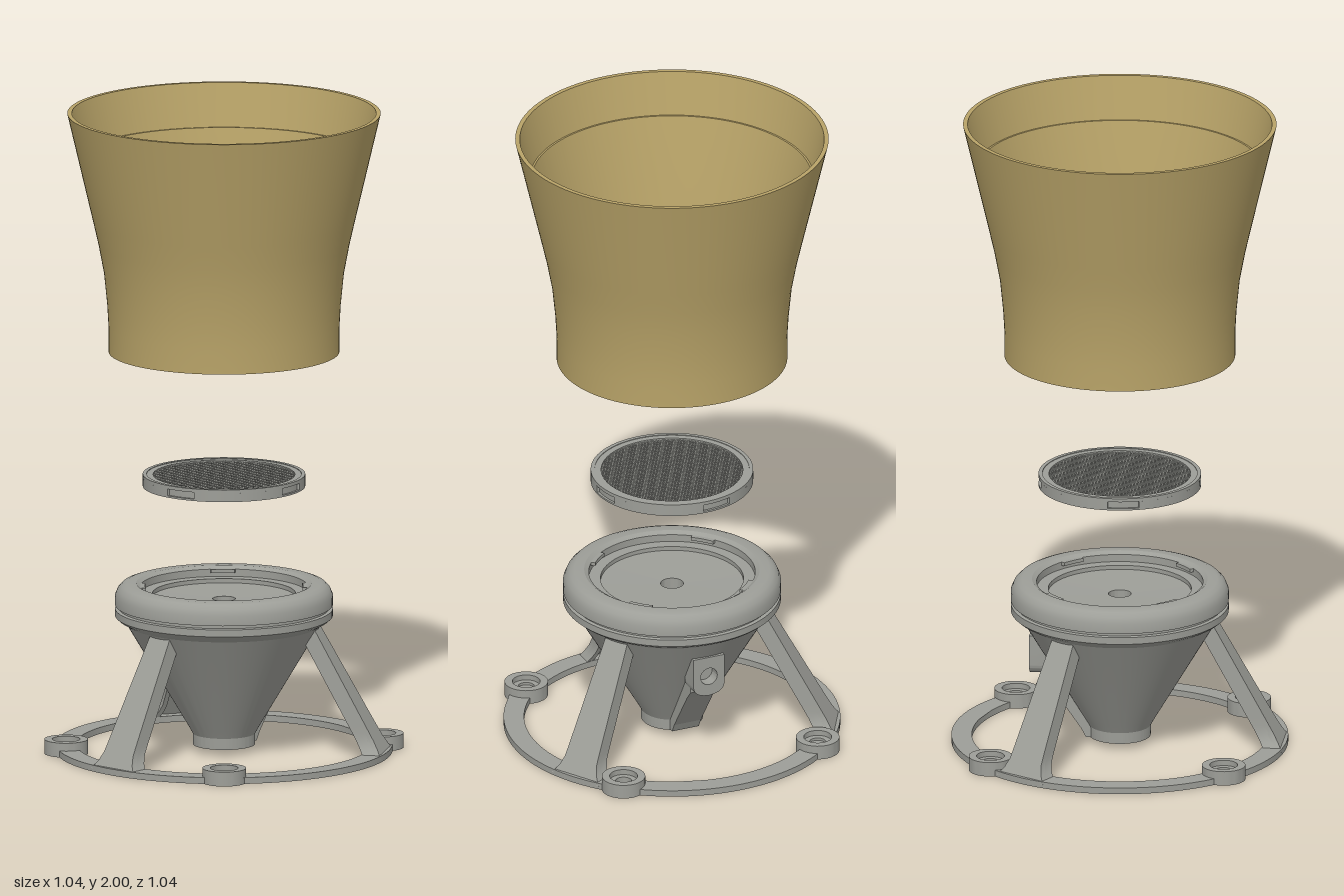
import * as THREE from 'three';
import { mergeGeometries, toCreasedNormals } from 'three/addons/utils/BufferGeometryUtils.js';

const tan = new THREE.MeshStandardMaterial({ color: 0xb8a368 });
tan.name = 'tan plastic';
const grey = new THREE.MeshStandardMaterial({ color: 0x9d9e98 });
grey.name = 'grey plastic';

function part(name, geometry, material = grey) {
  const mesh = new THREE.Mesh(geometry, material);
  mesh.name = name;
  return mesh;
}

// Revolved profile of [radius, y] pairs, outside upward then inside downward
function turned(points, segments = 96) {
  const geo = new THREE.LatheGeometry(points.map(([r, y]) => new THREE.Vector2(r, y)), segments);
  return toCreasedNormals(geo, 0.45);
}

// Flat shape raised from y0 to y1
function slab(shape, y0, y1, curveSegments = 48) {
  const geo = new THREE.ExtrudeGeometry(shape, { depth: y1 - y0, bevelEnabled: false, curveSegments });
  geo.rotateX(-Math.PI / 2).translate(0, y0, 0);
  return toCreasedNormals(geo, 0.45);
}

// Curved block between two radii and two angles
function arcBlock(r0, r1, y0, y1, a0, a1) {
  const s = new THREE.Shape();
  s.absarc(0, 0, r1, a0, a1, false);
  s.absarc(0, 0, r0, a1, a0, true);
  return slab(s, y0, y1, 24);
}

function circleHole(x, y, r) {
  return new THREE.Path().absarc(x, y, r, 0, Math.PI * 2, true);
}

// Bar following the slope of a leg: u0..u1 across the width, d0..d1 inward from the outer face
function legBar(u0, u1, d0, d1) {
  const geo = new THREE.BoxGeometry(1, 1, 1, 1, 16, 1);
  const p = geo.attributes.position;
  for (let i = 0; i < p.count; i++) {
    const t = p.getY(i) + 0.5;
    const half = 0.04 + 0.022 * (1 - t) + 0.026 * Math.max(0, 1 - t / 0.15) ** 2;
    const u = THREE.MathUtils.lerp(u0, u1, p.getX(i) + 0.5);
    const d = THREE.MathUtils.lerp(d1, d0, p.getZ(i) + 0.5);
    p.setXYZ(i, u * half, 0.01 + 0.405 * t, 0.512 - 0.228 * t - d);
  }
  return toCreasedNormals(geo, 0.45);
}

function makeFunnel() {
  return part('upperFunnel', turned([
    [0.343, 1.252], [0.355, 1.252], [0.355, 1.33], [0.359, 1.4], [0.369, 1.5], [0.386, 1.59],
    [0.402, 1.66], [0.482, 2], [0.468, 2], [0.437, 1.866], [0.431, 1.866],
    [0.382, 1.66], [0.364, 1.57], [0.346, 1.49], [0.325, 1.42], [0.297, 1.345],
    [0.343, 1.305], [0.343, 1.252],
  ], 128), tan);
}

function makeSieve() {
  const g = new THREE.Group();
  g.name = 'sieve';
  g.add(part('sieveRim', turned([
    [0.218, 0.832], [0.242, 0.832], [0.242, 0.866], [0.218, 0.866], [0.218, 0.832],
  ])));
  const outer = (y0, y1) => turned([[0.238, y0], [0.25, y0], [0.25, y1], [0.238, y1], [0.238, y0]]);
  g.add(part('rimTop', outer(0.857, 0.868)), part('rimBottom', outer(0.83, 0.836)));
  // Rim band broken by four locking slots
  for (let k = 0; k < 4; k++) {
    const a = k * Math.PI / 2;
    g.add(part('rimBand', arcBlock(0.238, 0.25, 0.836, 0.857, a + 0.36, a + Math.PI / 2 - 0.03)));
  }
  // Perforated plate from six-sided cells
  const pitch = 0.0105, R = pitch / Math.sqrt(3), r = R * 0.66;
  const cell = new THREE.LatheGeometry(
    [[R, 0.862], [r, 0.862], [r, 0.838], [R, 0.838]].map(([x, y]) => new THREE.Vector2(x, y)), 6).toNonIndexed();
  cell.computeVertexNormals();
  const cells = [];
  for (let row = -26; row <= 26; row++) {
    for (let col = -24; col <= 24; col++) {
      const x = (col + (row & 1 ? 0.5 : 0)) * pitch, z = row * pitch * Math.sqrt(3) / 2;
      if (Math.hypot(x, z) < 0.222) cells.push(cell.clone().translate(x, 0, z));
    }
  }
  g.add(part('perforatedPlate', mergeGeometries(cells)));
  return g;
}

function makeBody() {
  const g = new THREE.Group();
  g.name = 'hopper';
  // Cone, grooved collar and shallow bowl with a central drain
  g.add(part('hopperCone', turned([
    [0, 0.02], [0.095, 0.02], [0.096, 0.055], [0.11, 0.08], [0.3, 0.4], [0.325, 0.415],
    [0.335, 0.424], [0.335, 0.446], [0.324, 0.448], [0.324, 0.456], [0.335, 0.458],
    [0.335, 0.488], [0.327, 0.507], [0.314, 0.52], [0.3, 0.525], [0.27, 0.525], [0.256, 0.516],
    [0.256, 0.493], [0.22, 0.493], [0.22, 0.48], [0.035, 0.476], [0.035, 0.4], [0, 0.4],
  ])));
  for (let k = 0; k < 4; k++) {
    const a = k * Math.PI / 2 + 0.6;
    g.add(part('lockingLug', arcBlock(0.243, 0.262, 0.506, 0.517, a, a + 0.3)));
  }
  // Port boss at the back, with a rib running down to the outlet
  const rib = new THREE.Shape([
    [0.03, 0.022], [0.1, 0.022], [0.115, 0.05], [0.21, 0.185], [0.236, 0.215],
    [0.236, 0.345], [0.23, 0.4], [0.03, 0.4],
  ].map(([x, y]) => new THREE.Vector2(x, y)));
  const ribGeo = new THREE.ExtrudeGeometry(rib, { depth: 0.09, bevelEnabled: false });
  ribGeo.translate(0, 0, -0.045).rotateY(Math.PI / 2);
  g.add(part('portRib', ribGeo));
  const face = new THREE.Shape();
  face.moveTo(-0.052, 0.25).quadraticCurveTo(-0.05, 0.218, 0, 0.215)
    .quadraticCurveTo(0.05, 0.218, 0.052, 0.25).lineTo(0.052, 0.345).lineTo(-0.052, 0.345);
  face.holes.push(circleHole(0, 0.28, 0.028));
  const faceGeo = new THREE.ExtrudeGeometry(face, { depth: 0.065, bevelEnabled: false, curveSegments: 20 });
  faceGeo.translate(0, 0, -0.275);
  g.add(part('portBoss', toCreasedNormals(faceGeo, 0.45)));
  return g;
}

function makeStand() {
  const g = new THREE.Group();
  g.name = 'stand';
  // Ring foot with four screw bosses
  const ring = new THREE.Shape().absarc(0, 0, 0.518, 0, Math.PI * 2, false);
  ring.holes.push(circleHole(0, 0, 0.455));
  const boss = turned([
    [0.025, 0], [0.067, 0], [0.067, 0.045], [0.043, 0.045], [0.043, 0.028], [0.025, 0.028], [0.025, 0],
  ], 40);
  for (const x of [-0.328, 0.328]) {
    for (const z of [-0.361, 0.361]) {
      ring.holes.push(circleHole(x, z, 0.044));
      const mesh = part('screwBoss', boss);
      mesh.position.set(x, 0, z);
      g.add(mesh);
    }
  }
  g.add(part('footRing', slab(ring, 0, 0.02, 64)));
  // Three channel-section legs, open on the inside
  const web = legBar(-1, 1, 0, 0.02);
  const flanges = [legBar(-1, -0.76, 0.015, 0.055), legBar(0.76, 1, 0.015, 0.055)];
  for (let k = 0; k < 3; k++) {
    const leg = new THREE.Group();
    leg.name = 'leg';
    leg.add(part('legWeb', web), ...flanges.map((f) => part('legFlange', f)));
    leg.rotation.y = k * Math.PI * 2 / 3;
    g.add(leg);
  }
  return g;
}

export function createModel() {
  const model = new THREE.Group();
  model.name = 'funnelAssembly';
  model.add(makeFunnel(), makeSieve(), makeBody(), makeStand());
  return model;
}
